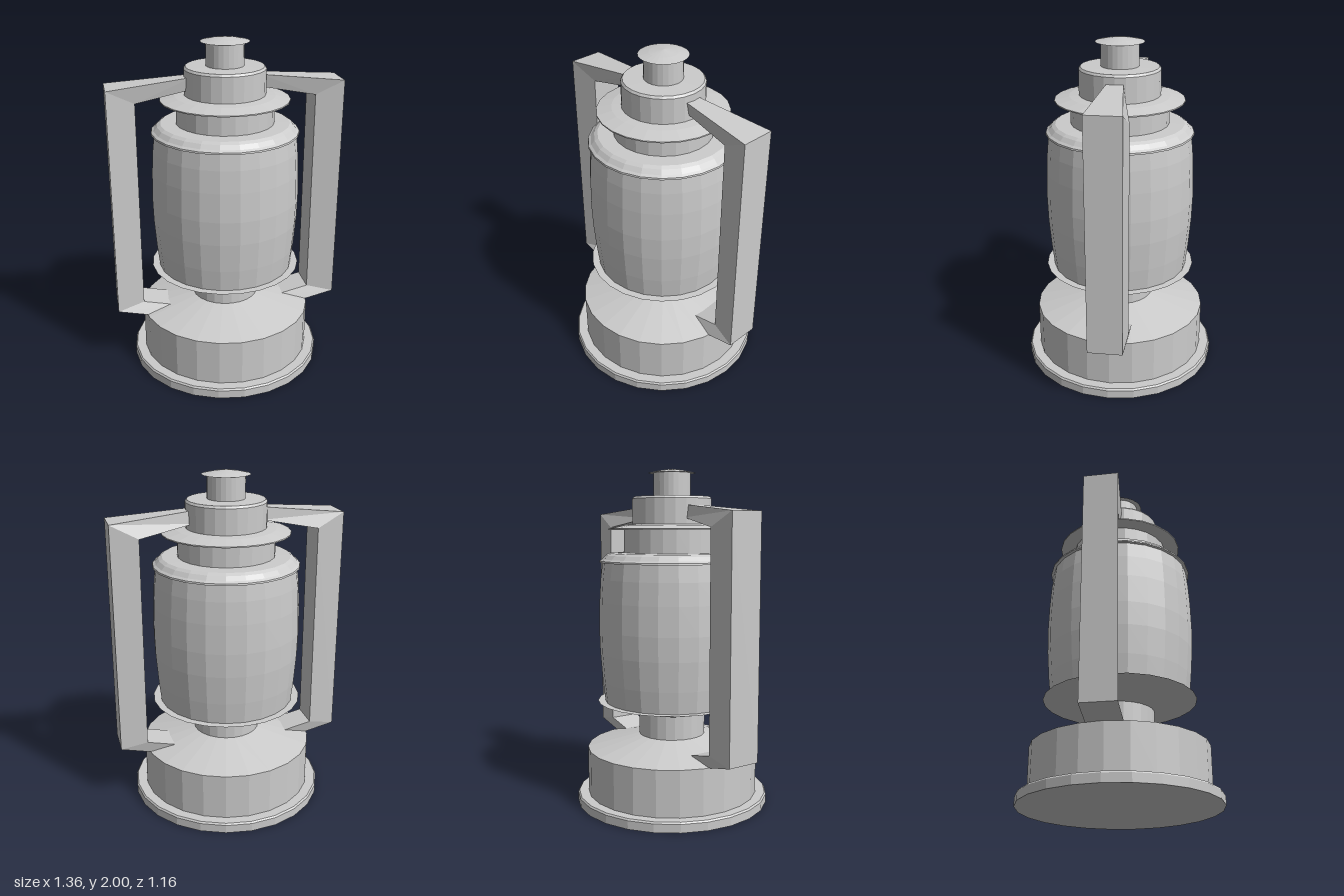
import * as THREE from 'three';

const SIDES = 24;

export function createModel() {
  const group = new THREE.Group();
  const mat = new THREE.MeshStandardMaterial({
    color: 0xcccccc, flatShading: true, side: THREE.DoubleSide,
  });

  const add = (name, geometry) => {
    const mesh = new THREE.Mesh(geometry, mat);
    mesh.name = name;
    group.add(mesh);
  };
  // turned part from [radius, height] pairs, bottom to top
  const turned = (name, profile) => add(name,
    new THREE.LatheGeometry(profile.map(([r, y]) => new THREE.Vector2(r, y)), SIDES));

  // fuel tank with foot rim and sloped lid
  turned('base', [[0, 0], [0.58, 0], [0.58, 0.05], [0.572, 0.06], [0.515, 0.06],
    [0.515, 0.335], [0.2, 0.415]]);
  turned('neck', [[0.2, 0.4], [0.2, 0.56]]);
  turned('burnerCup', [[0.2, 0.555], [0.45, 0.622], [0.4, 0.622]]);
  turned('globe', [[0.405, 0.615], [0.42, 0.75], [0.433, 0.92], [0.437, 1.06],
    [0.433, 1.23], [0.425, 1.36], [0.413, 1.46]]);
  turned('globeCollar', [[0.405, 1.455], [0.432, 1.455], [0.43, 1.465], [0.415, 1.475],
    [0.395, 1.498], [0.375, 1.51], [0.285, 1.512]]);
  turned('chimney', [[0.285, 1.51], [0.285, 1.65]]);
  turned('hood', [[0.285, 1.645], [0.375, 1.645], [0.375, 1.652], [0.29, 1.672], [0.235, 1.678]]);
  turned('crown', [[0.235, 1.67], [0.235, 1.825], [0.225, 1.838], [0.11, 1.84]]);
  turned('vent', [[0.11, 1.835], [0.11, 1.98]]);
  turned('cap', [[0.1, 1.975], [0.14, 1.975], [0.08, 1.988], [0.02, 1.997], [0, 2]]);

  // side frames: four-cornered cross-sections from tank to crown
  // [outer x, outer y, outer half width, inner x, inner y, inner front z, inner back z]
  const sections = [
    [0.42, 0.315, 0.1, 0.3, 0.36, 0.066, -0.115],
    [0.68, 0.375, 0.1, 0.52, 0.41, 0.066, -0.115],
    [0.68, 1.745, 0.1, 0.52, 1.66, 0.066, -0.115],
    [0.2, 1.788, 0.044, 0.2, 1.715, 0.03, -0.053],
  ];
  const frame = (side) => {
    const rings = sections.map(([ox, oy, w, ix, iy, f, b]) => [
      [side * ox, oy, w], [side * ox, oy, -w], [side * ix, iy, b], [side * ix, iy, f]]);
    const pos = [];
    for (let i = 0; i < rings.length - 1; i++) {
      for (let j = 0; j < 4; j++) {
        const k = (j + 1) % 4;
        const [a, b, c, d] = [rings[i][j], rings[i][k], rings[i + 1][k], rings[i + 1][j]];
        const tris = side > 0 ? [a, b, c, a, c, d] : [a, c, b, a, d, c];
        pos.push(...tris.flat());
      }
    }
    const geo = new THREE.BufferGeometry();
    geo.setAttribute('position', new THREE.Float32BufferAttribute(pos, 3));
    geo.computeVertexNormals();
    return geo;
  };
  add('leftFrame', frame(1));
  add('rightFrame', frame(-1));

  return group;
}
